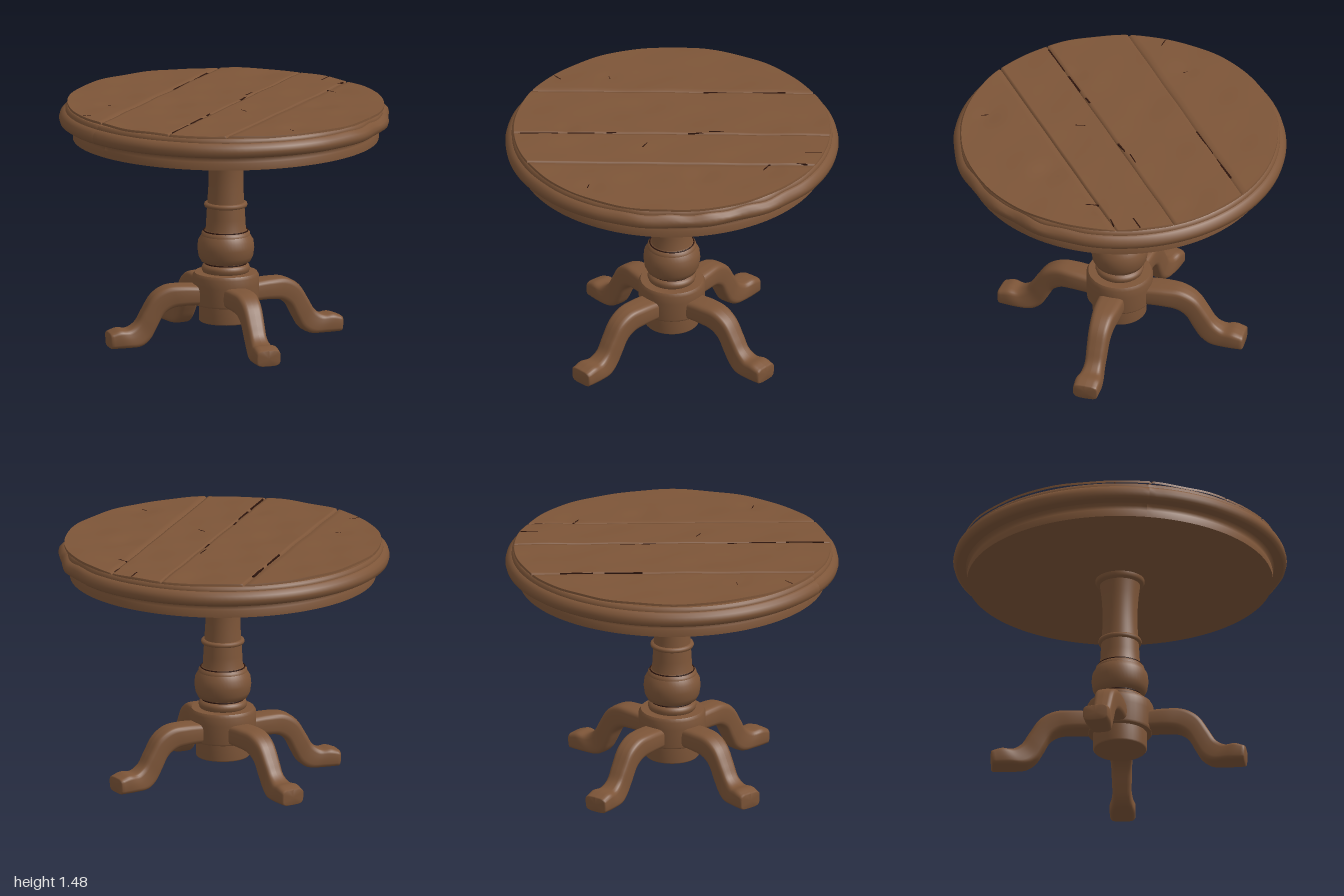
import * as THREE from 'three';

const wood = new THREE.MeshStandardMaterial({ color: 0x7d5538 });
wood.name = 'brownWood';
const dark = new THREE.MeshStandardMaterial({ color: 0x2c140c });
dark.name = 'darkCrack';

const lerp = THREE.MathUtils.lerp;
const v2 = (list) => list.map(([x, y]) => new THREE.Vector2(x, y));

function mesh(name, geometry, material = wood) {
  const m = new THREE.Mesh(geometry, material);
  m.name = name;
  return m;
}

// Surface from a grid of points fn(i, j); faces look along du x dv
function gridSurface(nu, nv, fn) {
  const pos = [], index = [];
  for (let i = 0; i <= nu; i++) {
    for (let j = 0; j <= nv; j++) {
      pos.push(...fn(i, j));
      if (i < nu && j < nv) {
        const a = i * (nv + 1) + j, b = a + nv + 1;
        index.push(a, b, a + 1, b, b + 1, a + 1);
      }
    }
  }
  const g = new THREE.BufferGeometry();
  g.setAttribute('position', new THREE.Float32BufferAttribute(pos, 3));
  g.setIndex(index);
  g.computeVertexNormals();
  return g;
}

// Worn, slightly tilted table surface with shallow dents: [x, z, radius, depth]
const dents = [[0.4, -0.42, 0.09, 0.012], [-0.15, 0.25, 0.1, 0.005], [0.8, 0.1, 0.07, 0.007],
  [-0.35, 0.63, 0.06, 0.006], [0.3, 0.55, 0.06, 0.006], [0.1, -0.75, 0.07, 0.006], [-0.5, -0.7, 0.09, 0.005]];
function topHeight(x, z) {
  let y = 1.468 - 0.006 * x + 0.005 * z;
  y += 0.003 * Math.sin(7 * x + 4 * z) * Math.sin(9 * z - 5 * x + 1);
  y += 0.002 * Math.sin(17 * x - 6 * z) * Math.cos(13 * z + 3 * x);
  for (const [dx, dz, r, depth] of dents) {
    y -= depth * Math.exp(-((x - dx) ** 2 + (z - dz) ** 2) / (r * r));
  }
  return y;
}

// Four planks, cut to a circle and sunk at their seams
const R = 0.95, NX = 0.88, NZ = -0.475;
const seams = [-R, -0.43, 0.06, 0.4, R];
function plank(a, b) {
  const nu = 32, nv = 64, a0 = Math.asin(a / R), b0 = Math.asin(b / R);
  return gridSurface(nu, nv, (i, j) => {
    // the outermost columns are bunched to give a crisp seam
    const u = i === 0 ? 0 : i === nu ? 1 : lerp(0.015, 0.985, (i - 1) / (nu - 2));
    const p = R * Math.sin(lerp(a0, b0, u));
    const q = Math.sqrt(Math.max(0, R * R - p * p)) * Math.sin((j / nv - 0.5) * Math.PI);
    const x = p * NX + q * NZ, z = p * NZ - q * NX;
    const edge = i === 0 || i === nu || j === 0 || j === nv;
    return [x, topHeight(x, z) - (edge ? 0.014 : 0), z];
  });
}

// Thin dark crack lying in the surface between two points
function crack(x1, z1, x2, z2, width) {
  const x = (x1 + x2) / 2, z = (z1 + z2) / 2;
  const m = mesh('crack', new THREE.BoxGeometry(Math.hypot(x2 - x1, z2 - z1), 0.009, width), dark);
  m.position.set(x, topHeight(x, z) - 0.004, z);
  m.rotation.y = -Math.atan2(z2 - z1, x2 - x1);
  return m;
}

function tableTop() {
  const group = new THREE.Group();
  group.name = 'tableTop';
  // Rim and apron; repeated points keep an edge sharp
  const rim = new THREE.LatheGeometry(v2([
    [0, 1.25], [0.9, 1.248], [0.9, 1.248], [0.917, 1.252], [0.917, 1.252], [0.917, 1.293], [0.908, 1.3],
    [0.908, 1.325], [0.925, 1.338], [0.925, 1.338], [0.975, 1.34], [0.993, 1.352], [1, 1.378],
    [0.993, 1.405], [0.975, 1.422], [0.962, 1.427], [0.962, 1.427], [0.961, 1.443], [0.948, 1.453],
    [0.948, 1.453], [0, 1.435],
  ]), 144);
  // Wear on the back right of the rim
  const p = rim.attributes.position;
  for (let i = 0; i < p.count; i++) {
    const x = p.getX(i), z = p.getZ(i), y = p.getY(i), r = Math.hypot(x, z);
    if (r < 0.93) continue;
    const t = Math.atan2(-z, x);
    const worn = Math.exp(-(((t - 0.8) / 0.5) ** 2));
    const k = 1 - worn * (0.018 + 0.01 * Math.sin(t * 15)) - 0.003 * Math.max(0, Math.sin(t * 11)) * (x > 0 ? 1 : 0);
    p.setXYZ(i, x * k, y - worn * 0.006 * (1 + Math.sin(t * 23)) * (y > 1.4 ? 1 : 0), z * k);
  }
  rim.computeVertexNormals();
  group.add(mesh('rimAndApron', rim));
  for (let i = 0; i < 4; i++) group.add(mesh('plank', plank(seams[i], seams[i + 1])));
  const cracks = [[-0.70, -0.39, -0.6, -0.22, 0.012], [-0.57, -0.16, -0.46, 0.04, 0.008],
    [-0.12, -0.29, -0.08, -0.21, 0.007], [-0.05, -0.19, 0, -0.11, 0.01], [0.2, 0.27, 0.23, 0.32, 0.01],
    [0.27, 0.38, 0.35, 0.52, 0.012], [0.38, 0.57, 0.49, 0.77, 0.008], [-0.2, -0.92, -0.15, -0.83, 0.008],
    [-0.04, -0.91, 0.0, -0.81, 0.006], [-0.2, 0.92, -0.17, 0.83, 0.005], [0.19, 0.05, 0.27, 0.05, 0.006],
    [0.05, -0.71, 0.15, -0.71, 0.008], [0.77, 0.13, 0.84, 0.11, 0.006], [-0.4, 0.67, -0.31, 0.59, 0.005]];
  cracks.forEach((c) => group.add(crack(...c)));
  return group;
}

// Turned pedestal
function pedestal() {
  const group = new THREE.Group();
  group.name = 'pedestal';
  group.add(mesh('column', new THREE.LatheGeometry(v2([
    [0.13, 0.425], [0.14, 0.435], [0.146, 0.455], [0.14, 0.472], [0.125, 0.48], [0.125, 0.48],
    [0.125, 0.49], [0.125, 0.49], [0.147, 0.497], [0.164, 0.53], [0.171, 0.58], [0.166, 0.625], [0.147, 0.657],
    [0.147, 0.657], [0.145, 0.672], [0.132, 0.683], [0.132, 0.683], [0.121, 0.69], [0.117, 0.76], [0.113, 0.828],
    [0.113, 0.828], [0.127, 0.832], [0.131, 0.843], [0.127, 0.854], [0.111, 0.858], [0.111, 0.858],
    [0.105, 0.95], [0.105, 1.05], [0.111, 1.14], [0.121, 1.215], [0.121, 1.215],
    [0.14, 1.222], [0.147, 1.235], [0.147, 1.252],
  ]), 48)));
  for (const [r, y] of [[0.126, 0.485], [0.132, 0.684]]) {
    const ring = mesh('shadowGroove', new THREE.TorusGeometry(r, 0.004, 6, 48), dark);
    ring.rotation.x = Math.PI / 2;
    ring.position.y = y;
    group.add(ring);
  }
  group.add(mesh('hub', new THREE.LatheGeometry(v2([
    [0, 0.13], [0.155, 0.13], [0.155, 0.13], [0.162, 0.138], [0.162, 0.235], [0.162, 0.235],
    [0.19, 0.238], [0.19, 0.238], [0.197, 0.25], [0.2, 0.36], [0.2, 0.41], [0.188, 0.43], [0.188, 0.43], [0, 0.435],
  ]), 40)));
  return group;
}

// Curved leg: upper and lower outlines as (radius, height, half width)
const curve = (list) => new THREE.CatmullRomCurve3(list.map((p) => new THREE.Vector3(...p)));
const upper = curve([[0.14, 0.36, 0.08], [0.29, 0.37, 0.078], [0.39, 0.363, 0.07], [0.475, 0.315, 0.064],
  [0.54, 0.22, 0.06], [0.585, 0.15, 0.058], [0.64, 0.116, 0.066], [0.7, 0.118, 0.078], [0.755, 0.1, 0.076]]);
const lower = curve([[0.14, 0.24, 0], [0.28, 0.24, 0], [0.355, 0.228, 0], [0.41, 0.19, 0],
  [0.455, 0.11, 0], [0.495, 0.045, 0], [0.55, 0.008, 0], [0.65, 0.002, 0], [0.75, 0.002, 0]]);
const soft = (c) => Math.sign(c) * Math.sqrt(Math.abs(c));

function leg(name, degrees, reach) {
  const steps = 40, sides = 24;
  const g = gridSurface(steps + 2, sides, (i, j) => {
    const t = Math.min(i, steps) / steps;
    const a = upper.getPoint(t), b = lower.getPoint(t);
    const s = i === steps + 2 ? 0 : i === steps + 1 ? 0.9 : 1; // closed, bevelled toe
    const ang = (j / sides) * Math.PI * 2;
    const c = soft(Math.cos(ang)) * s * 0.5;
    const mx = (a.x + b.x) / 2, my = (a.y + b.y) / 2;
    const x = mx + (a.x - b.x) * c + (i > steps ? 0.008 : 0);
    return [0.14 + (x - 0.14) * reach, my + (a.y - b.y) * c, -soft(Math.sin(ang)) * a.z * s];
  });
  const m = mesh(name, g);
  m.rotation.y = THREE.MathUtils.degToRad(degrees);
  return m;
}

export function createModel() {
  const model = new THREE.Group();
  model.name = 'roundPedestalTable';
  model.add(tableTop(), pedestal());
  model.add(
    leg('leftLeg', -17, 1),
    leg('frontLeg', -112, 0.95),
    leg('rightLeg', 171, 1.02),
    leg('backLeg', 78.5, 0.98),
  );
  return model;
}
